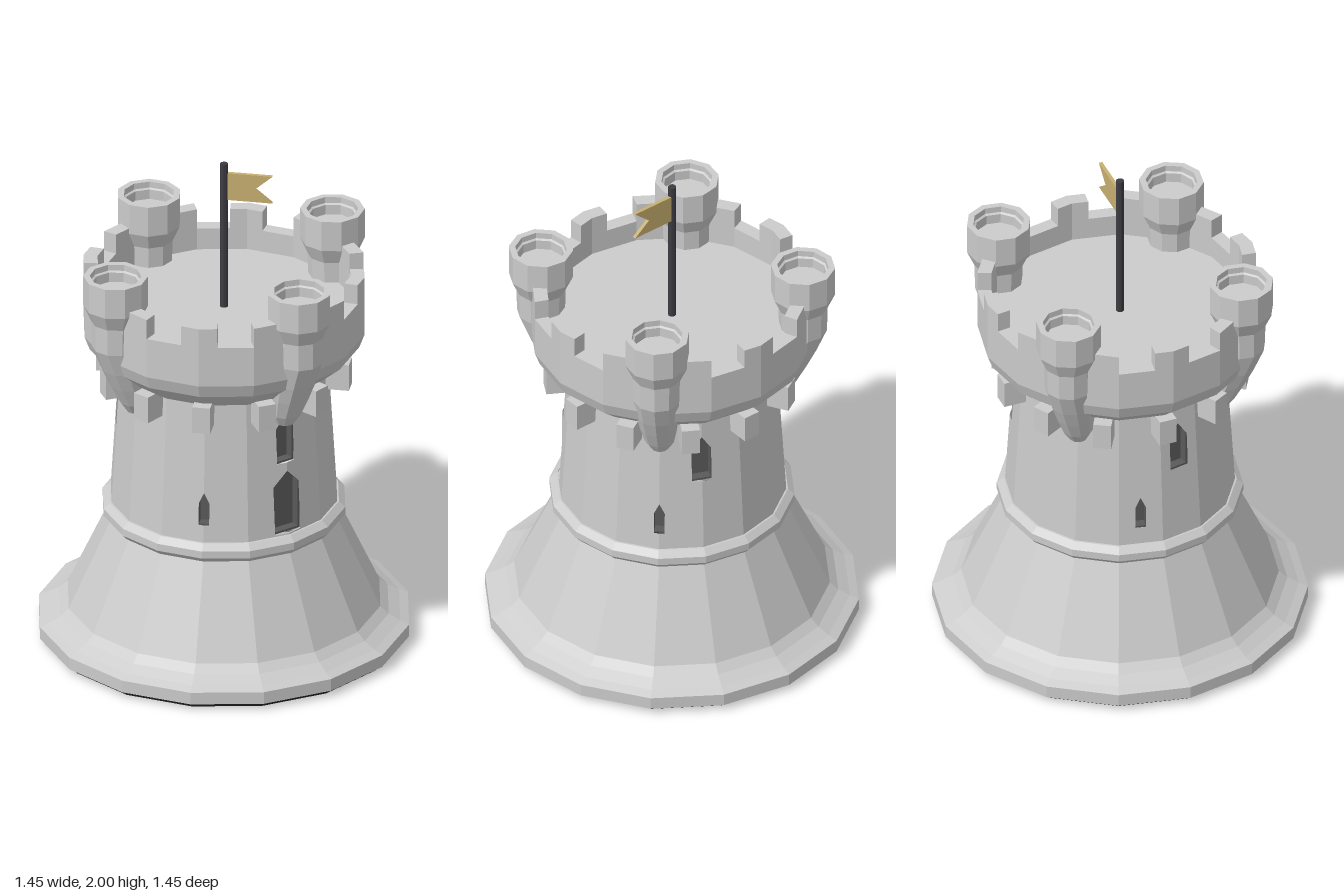
import * as THREE from 'three';

const SIDES = 16, STEP = Math.PI / 16; // half a facet of the 16-sided tower
const mat = (color) => new THREE.MeshStandardMaterial({ color, flatShading: true, side: THREE.DoubleSide });
const stone = mat(0xcccccc), dark = mat(0x5a5a5a), black = mat(0x1a1a1a), iron = mat(0x3c3c42), cloth = mat(0xc8b070);

// Radius of the 16-sided outline at angle a (corners at multiples of 22.5 degrees)
function outline(r, a) {
  const t = ((a % (2 * STEP)) + 2 * STEP) % (2 * STEP);
  return r * Math.cos(STEP) / Math.cos(t - STEP);
}

function add(parent, name, geometry, material = stone) {
  const mesh = new THREE.Mesh(geometry, material);
  mesh.name = name;
  parent.add(mesh);
  return mesh;
}

const lathe = (points, sides = SIDES) =>
  new THREE.LatheGeometry(points.map(([r, y]) => new THREE.Vector2(r, y)), sides);

const toShape = (points) => new THREE.Shape(points.map(([x, y]) => new THREE.Vector2(x, y)));

// Window kinds: half width, sill, shoulder, apex
const DOOR = [0.06, 0.59, 0.79, 0.85];
const UPPER = [0.04, 0.885, 1.03, 1.09];
const SLIT = [0.021, 0.655, 0.745, 0.79];
// Openings keyed by position in steps of 11.25 degrees round the wall
const OPENINGS = { 0: [SLIT], 4: [DOOR, UPPER], 12: [SLIT], 14: [UPPER], 23: [SLIT], 25: [UPPER] };
const WALL_LOW = 0.57, WALL_HIGH = 1.18;
const wallRadius = (y) => THREE.MathUtils.mapLinear(y, WALL_LOW, WALL_HIGH, 0.444, 0.407);

// Half-facet wall panel, notched along both edges where openings fall
function wallPanel(k) {
  const notches = (list = [], edge, sign) => list.flatMap(([w, sill, shoulder, apex]) => [
    [edge, sill],
    [edge + sign * w / wallRadius(sill), sill],
    [edge + sign * w / wallRadius(shoulder), shoulder],
    [edge, apex],
  ]);
  const right = notches(OPENINGS[(k + 1) % 32], STEP, -1);
  const left = notches(OPENINGS[k], 0, 1).reverse();
  const geometry = new THREE.ShapeGeometry(toShape([
    [0, WALL_LOW], [STEP, WALL_LOW], ...right, [STEP, WALL_HIGH], [0, WALL_HIGH], ...left,
  ]));
  const p = geometry.attributes.position;
  for (let i = 0; i < p.count; i++) {
    const a = k * STEP + p.getX(i), y = p.getY(i);
    const r = outline(wallRadius(y), a);
    p.setXYZ(i, r * Math.sin(a), y, r * Math.cos(a));
  }
  geometry.computeVertexNormals();
  return geometry;
}

// Dark recess behind an opening: reveal frame and back panel
function niche([w, sill, shoulder, apex], k) {
  const group = new THREE.Group();
  group.name = 'windowNiche';
  const house = (g) => [[-w - g, sill - g], [w + g, sill - g], [w + g, shoulder + g * 0.5], [0, apex + g], [-w - g, shoulder + g * 0.5]];
  const frame = toShape(house(0.008));
  frame.holes.push(toShape(house(0)));
  const face = outline(wallRadius(apex), k * STEP) - (k % 2 ? 0.004 : w * 0.2 + 0.004);
  add(group, 'reveal', new THREE.ExtrudeGeometry(frame, { depth: 0.04, bevelEnabled: false }), dark).position.z = face - 0.04;
  add(group, 'windowBack', new THREE.ShapeGeometry(toShape(house(0.008))), dark).position.z = face - 0.035;
  group.rotation.y = k * STEP;
  return group;
}

// Merlon following the parapet outline, centred on angle a
function merlon(a) {
  const half = Math.PI / 24;
  const angles = [a - half, a, a + half];
  const at = (r) => (t) => [outline(r, t) * Math.sin(t), -outline(r, t) * Math.cos(t)];
  const shape = toShape([...angles.map(at(0.55)), ...angles.reverse().map(at(0.495))]);
  return new THREE.ExtrudeGeometry(shape, { depth: 0.085, bevelEnabled: false })
    .rotateX(-Math.PI / 2).translate(0, 1.472, 0);
}

// Corner turret: hollow cup on a stem that curves in to the wall
function turretGeometry() {
  const geometry = lathe([
    [0, 1.045], [0.035, 1.055], [0.06, 1.1], [0.075, 1.18], [0.086, 1.26], [0.093, 1.36], [0.096, 1.47],
    [0.125, 1.535], [0.125, 1.66], [0.1, 1.66], [0.1, 1.635], [0.092, 1.63], [0.092, 1.59], [0, 1.59],
  ], 10);
  const p = geometry.attributes.position;
  for (let i = 0; i < p.count; i++) {
    const lean = Math.min(0.095, Math.max(0, 1.36 - p.getY(i)) * 0.34);
    p.setZ(i, p.getZ(i) - lean);
  }
  geometry.computeVertexNormals();
  return geometry;
}

export function createModel() {
  const tower = new THREE.Group();
  tower.name = 'tower';

  // Foot and flared base with its moulding
  add(tower, 'footPad', lathe([[0, 0], [0.692, 0], [0.692, 0.025], [0, 0.025]]), black);
  add(tower, 'flaredBase', lathe([
    [0, 0.025], [0.725, 0.025], [0.725, 0.075], [0.69, 0.09], [0.645, 0.115], [0.612, 0.145], [0.445, 0.51],
  ]));
  add(tower, 'baseMoulding', lathe([
    [0.44, 0.505], [0.455, 0.508], [0.475, 0.53], [0.475, 0.56], [0.45, 0.583], [0.43, 0.585],
  ]));

  // Shaft wall with recessed openings
  const wall = new THREE.Group();
  wall.name = 'shaftWall';
  for (let k = 0; k < 32; k++) {
    add(wall, 'wallPanel', wallPanel(k));
    for (const opening of OPENINGS[k] ?? []) wall.add(niche(opening, k));
  }
  tower.add(wall);

  // Parapet with roof floor
  add(tower, 'parapet', lathe([
    [0.4, 1.15], [0.415, 1.165], [0.45, 1.185], [0.53, 1.255], [0.55, 1.31],
    [0.55, 1.475], [0.495, 1.475], [0.495, 1.385], [0, 1.385],
  ]));

  // Merlons and corbel blocks
  for (let i = 0; i < 12; i++) {
    const a = i * Math.PI / 6;
    add(tower, 'merlon', merlon(a));
    add(tower, 'corbel', new THREE.BoxGeometry(0.07, 0.11, 0.12).translate(0, 1.135, 0.435)).rotation.y = a;
  }

  // Four corner turrets
  const turret = turretGeometry();
  for (let i = 0; i < 4; i++) {
    const a = Math.PI / 4 + i * Math.PI / 2;
    const mesh = add(tower, 'turret', turret);
    mesh.position.set(0.508 * Math.sin(a), 0, 0.508 * Math.cos(a));
    mesh.rotation.y = a;
  }

  // Flagpole and swallow-tailed flag
  add(tower, 'flagpole', new THREE.CylinderGeometry(0.016, 0.016, 0.62, 8).translate(0, 1.69, 0), iron);
  const flag = toShape([[0.012, 1.845], [0.19, 1.845], [0.122, 1.9], [0.19, 1.96], [0.012, 1.96]]);
  add(tower, 'flag', new THREE.ExtrudeGeometry(flag, { depth: 0.014, bevelEnabled: false }).translate(0, 0, -0.011), cloth);

  return tower;
}
